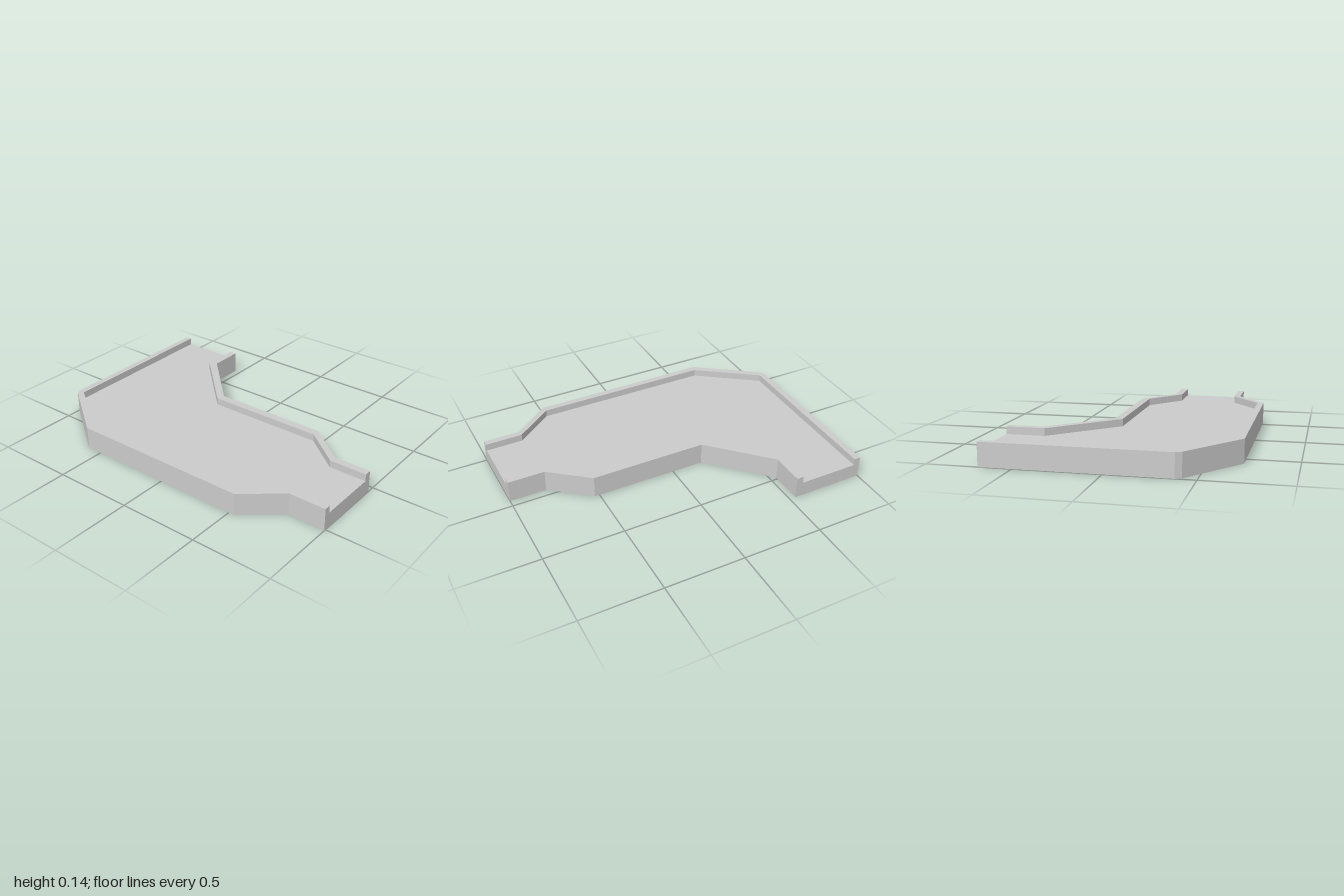
import * as THREE from 'three';

const FLOOR = 0.095, HEIGHT = 0.14;

// Plan outlines as [x, z], running from the front opening to the side opening
const leftOuter = [[-0.51, 1], [-0.51, 0.77], [-0.695, 0.535], [-0.695, -0.6], [-0.42, -0.98], [-0.385, -1], [0.695, -1]];
const leftInner = [[-0.47, 1], [-0.47, 0.765], [-0.655, 0.53], [-0.655, -0.585], [-0.385, -0.96], [0.695, -0.96]];
const rightOuter = [[-0.05, 1], [-0.05, 0.77], [0.14, 0.53], [0.14, -0.2], [0.485, -0.54], [0.695, -0.54]];
const rightInner = [[-0.095, 1], [-0.095, 0.765], [0.09, 0.53], [0.09, -0.215], [0.46, -0.585], [0.695, -0.585]];

export function createModel() {
  const group = new THREE.Group();
  const material = new THREE.MeshStandardMaterial({ color: 0xcccccc, flatShading: true });

  // Raises the area between two edge lines from y0 to y1
  function slab(name, edgeA, edgeB, y0, y1) {
    const points = [...edgeA, ...[...edgeB].reverse()].map(([x, z]) => new THREE.Vector2(x, -z));
    const geometry = new THREE.ExtrudeGeometry(new THREE.Shape(points), { depth: y1 - y0, bevelEnabled: false });
    geometry.rotateX(-Math.PI / 2).translate(0, y0, 0);
    const mesh = new THREE.Mesh(geometry, material);
    mesh.name = name;
    group.add(mesh);
  }

  // Thick floor, with a raised rim along each side and both ends open
  slab('floor', leftOuter, rightOuter, 0, FLOOR);
  slab('outerRim', leftOuter, leftInner, FLOOR, HEIGHT);
  slab('innerRim', rightOuter, rightInner, FLOOR, HEIGHT);

  return group;
}
